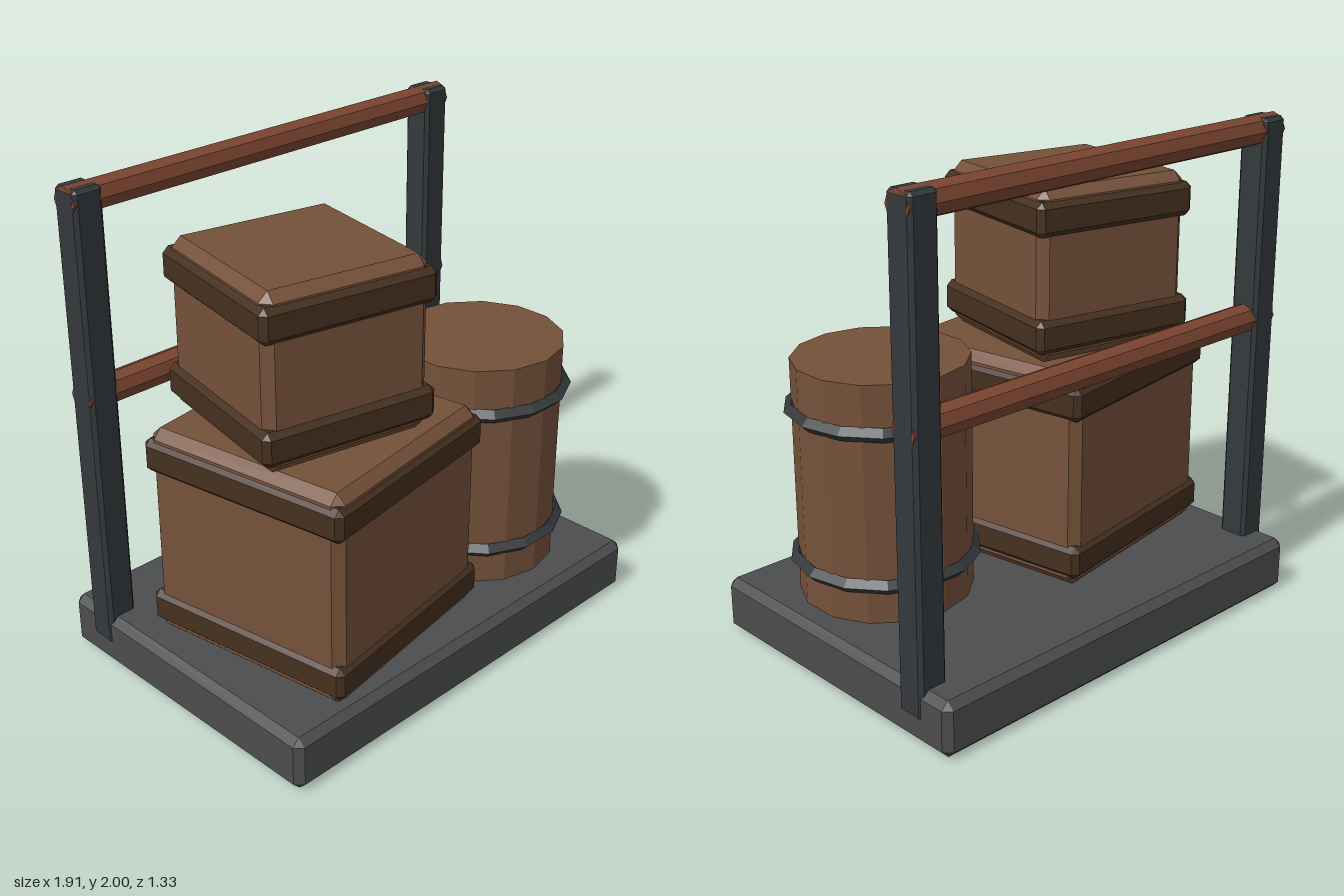
import * as THREE from 'three';
import { ConvexGeometry } from 'three/addons/geometries/ConvexGeometry.js';

const mat = (color) => new THREE.MeshStandardMaterial({ color, flatShading: true });

// Box with flat chamfers on every edge, centred on the origin
function chamferBox(w, h, d, c) {
  const pts = [];
  for (const x of [-1, 1]) for (const y of [-1, 1]) for (const z of [-1, 1]) {
    for (let full = 0; full < 3; full++) {
      const inset = [0, 1, 2].map((axis) => (axis === full ? 0 : c));
      pts.push(new THREE.Vector3(
        x * (w / 2 - inset[0]), y * (h / 2 - inset[1]), z * (d / 2 - inset[2])));
    }
  }
  return new ConvexGeometry(pts);
}

function add(parent, name, geometry, material, x = 0, y = 0, z = 0) {
  const mesh = new THREE.Mesh(geometry, material);
  mesh.name = name;
  mesh.position.set(x, y, z);
  parent.add(mesh);
  return mesh;
}

export function createModel() {
  const model = new THREE.Group();
  model.name = 'loadedCart';
  const deckMat = mat(0x4c4d4f);
  const metal = mat(0x34393c);
  const wood = mat(0x75513a);
  const darkWood = mat(0x45301f);
  const railMat = mat(0x7a4530);

  // Deck
  add(model, 'deck', chamferBox(1.9, 0.225, 1.33, 0.03), deckMat, 0, 0.1125, 0);

  // Handle frame: two posts and two octagonal rails
  const frame = new THREE.Group();
  frame.name = 'handleFrame';
  model.add(frame);
  const frameZ = -0.473;
  for (const [side, name] of [[1, 'leftPost'], [-1, 'rightPost']]) {
    add(frame, name, chamferBox(0.125, 1.89, 0.125, 0.015), metal, side * 0.893, 1.047, frameZ);
  }
  const railGeo = new THREE.CylinderGeometry(0.06, 0.06, 1.91, 8).rotateZ(Math.PI / 2);
  add(frame, 'topRail', railGeo, railMat, 0, 1.94, frameZ);
  add(frame, 'middleRail', railGeo, railMat, 0, 1.18, frameZ);

  // Crates: chamfered cube with two dark bands
  function addCrate(name, size, bandSize, bandOffset, x, y, z, turn) {
    const crate = new THREE.Group();
    crate.name = name;
    crate.position.set(x, y, z);
    crate.rotation.y = turn;
    add(crate, 'crateBody', chamferBox(size, size, size, 0.037), wood);
    const bandGeo = chamferBox(bandSize, 0.137, bandSize, 0.024);
    add(crate, 'upperBand', bandGeo, darkWood, 0, bandOffset, 0);
    add(crate, 'lowerBand', bandGeo, darkWood, 0, -bandOffset, 0);
    model.add(crate);
  }
  addCrate('largeCrate', 0.88, 0.912, 0.33, -0.345, 0.665, 0.13, 0.155);
  addCrate('smallCrate', 0.68, 0.722, 0.23, -0.382, 1.445, 0.093, -0.2);

  // Barrel with two diamond-section hoops
  const barrel = new THREE.Group();
  barrel.name = 'barrel';
  barrel.position.set(0.508, 0, 0.19);
  model.add(barrel);
  add(barrel, 'barrelBody', new THREE.CylinderGeometry(0.343, 0.343, 0.96, 14), wood, 0, 0.7, 0);
  const hoopGeo = new THREE.TorusGeometry(0.348, 0.029, 4, 14).rotateX(Math.PI / 2);
  add(barrel, 'upperHoop', hoopGeo, metal, 0, 0.99, 0);
  add(barrel, 'lowerHoop', hoopGeo, metal, 0, 0.38, 0);

  return model;
}
